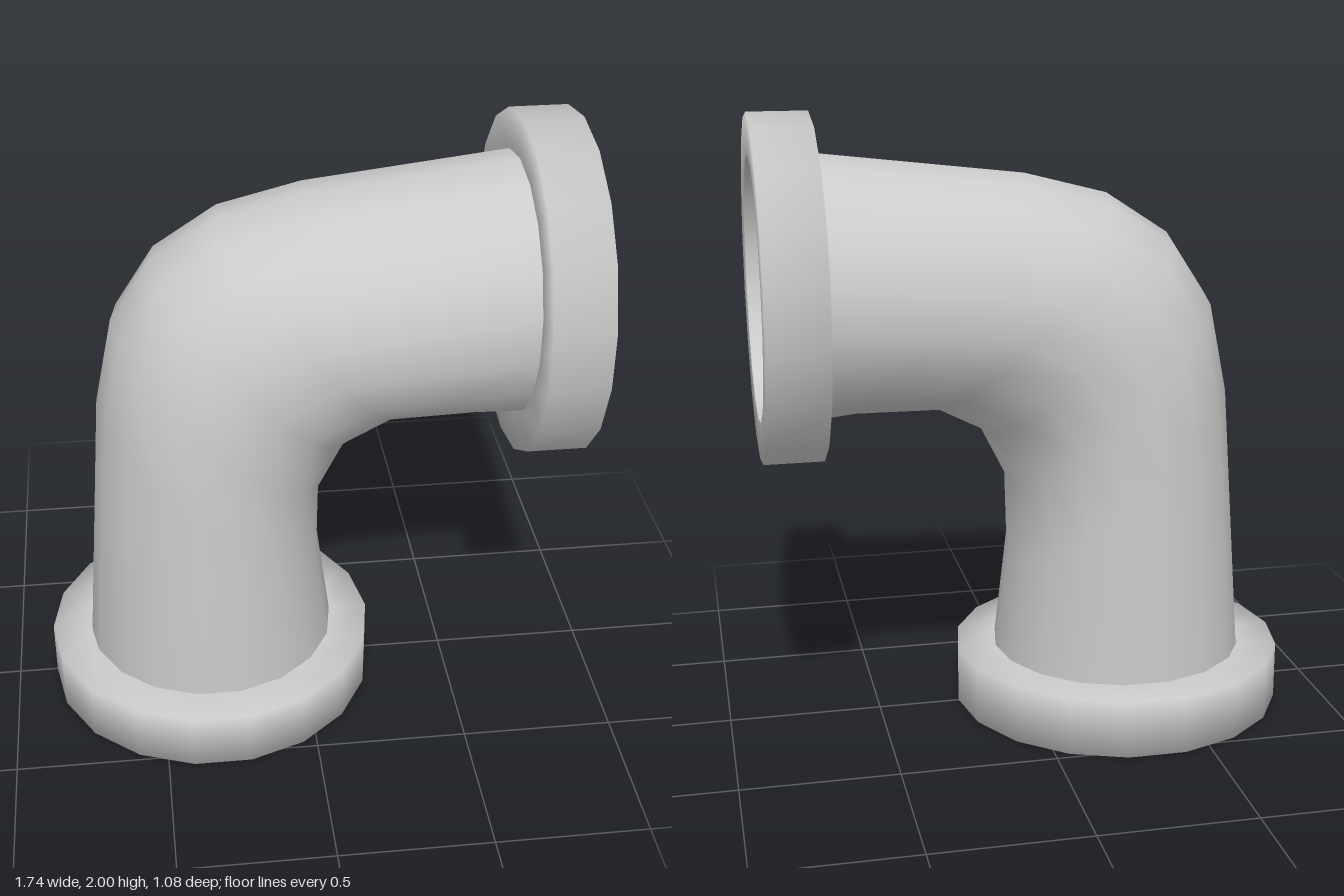
import * as THREE from 'three';

const SIDES = 18;
const RADIUS = 0.42;

// Pipe skin lofted through oval rings, each given by its outer-bend and inner-bend points
function bentPipe(rings) {
  const positions = [], index = [];
  rings.forEach(([ox, oy, ix, iy], i) => {
    for (let j = 0; j < SIDES; j++) {
      const t = (j / SIDES) * Math.PI * 2;
      const c = Math.cos(t);
      positions.push(
        (ox + ix) / 2 + (c * (ox - ix)) / 2,
        (oy + iy) / 2 + (c * (oy - iy)) / 2,
        Math.sin(t) * RADIUS
      );
      if (i === rings.length - 1) continue;
      const a = i * SIDES + j, b = i * SIDES + ((j + 1) % SIDES);
      index.push(a, b, a + SIDES, b, b + SIDES, a + SIDES);
    }
  });
  const geometry = new THREE.BufferGeometry();
  geometry.setAttribute('position', new THREE.Float32BufferAttribute(positions, 3));
  geometry.setIndex(index);
  geometry.computeVertexNormals();
  return geometry;
}

// Collar ring with softly shaded edges
function collar(height) {
  const profile = [[RADIUS, 0], [0.55, 0], [0.55, height], [RADIUS, height]];
  return new THREE.LatheGeometry(
    profile.map(([r, y]) => new THREE.Vector2(r, y)), SIDES, Math.PI / 2);
}

export function createModel() {
  const group = new THREE.Group();
  const material = new THREE.MeshStandardMaterial({ color: 0xcccccc, side: THREE.DoubleSide });
  const add = (name, geometry) => {
    const mesh = new THREE.Mesh(geometry, material);
    mesh.name = name;
    group.add(mesh);
    return mesh;
  };

  // Elbow, open at both ends: outer x, outer y, inner x, inner y
  add('elbowPipe', bentPipe([
    [-0.74, 0, 0.1, 0],
    [-0.735, 0.19, 0.1, 0.19],
    [-0.665, 1.1, 0.055, 0.53],
    [-0.605, 1.39, 0.06, 0.79],
    [-0.475, 1.59, 0.145, 0.96],
    [-0.27, 1.725, 0.32, 1.05],
    [0, 1.795, 0.59, 1.05],
    [0.68, 1.875, 0.68, 1.035],
    [0.865, 1.875, 0.865, 1.035],
  ]));

  // Collars at the foot and at the mouth
  add('footCollar', collar(0.19)).position.set(-0.32, 0, 0);
  const mouth = add('mouthCollar', collar(0.19));
  mouth.position.set(0.677, 1.453, 0);
  mouth.rotation.z = -Math.PI / 2;

  return group;
}
